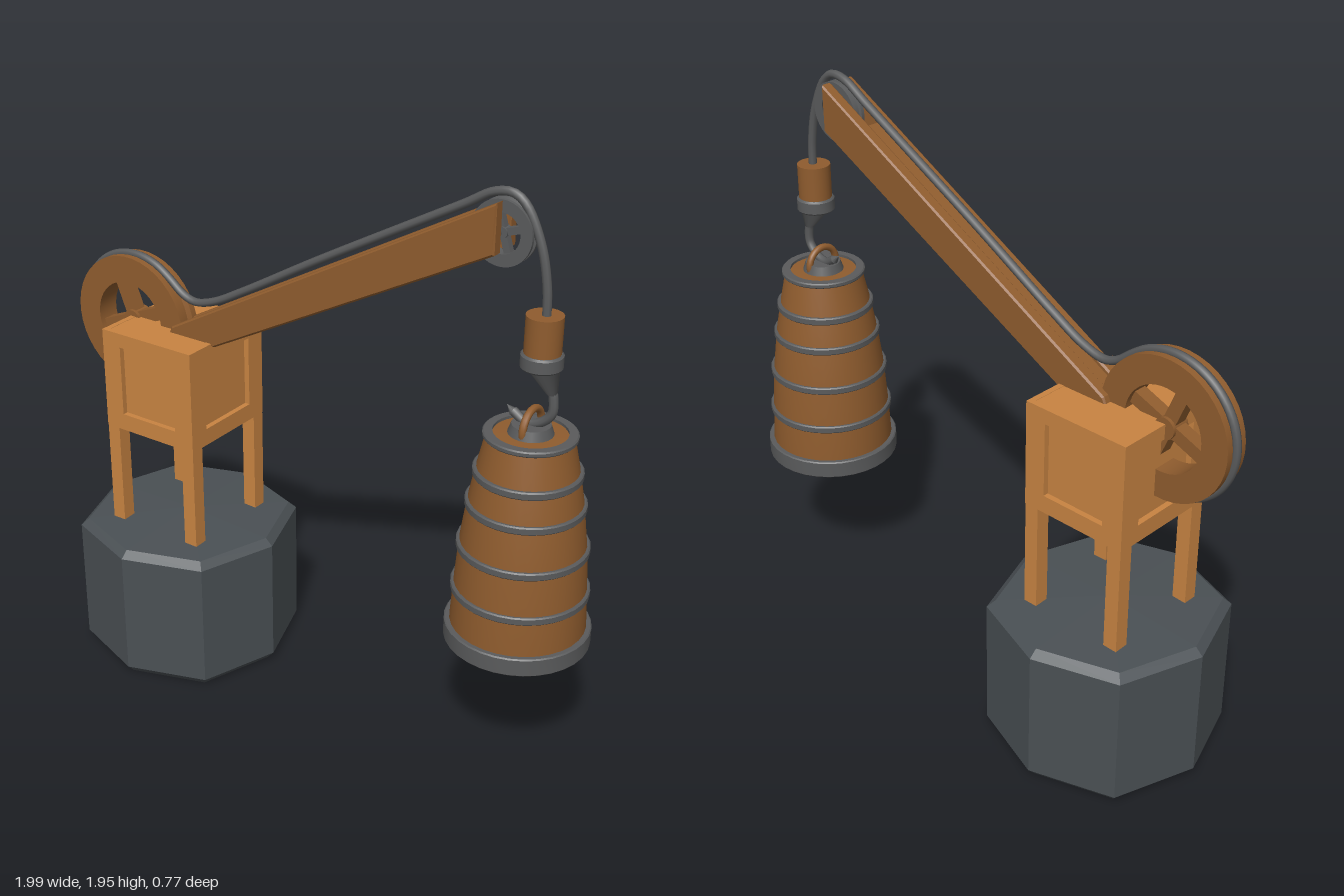
import * as THREE from 'three';
import { toCreasedNormals } from 'three/addons/utils/BufferGeometryUtils.js';

const mat = (color, extra = {}) => {
  const m = new THREE.MeshStandardMaterial(extra);
  m.color.set(color);
  return m;
};
const V2 = (p) => new THREE.Vector2(p[0], p[1]);

export function createModel() {
  const stone = mat(0x4a5054, { flatShading: true });
  const lightWood = mat(0xc88442);
  const wood = mat(0x8f5c2e);
  const metal = mat(0x5a5b5c);

  const model = new THREE.Group();
  model.name = 'crane';
  // Everything is laid out in a frame turned slightly about y
  const crane = new THREE.Group();
  crane.name = 'craneBody';
  crane.position.set(-0.575, 0, 0.02);
  crane.rotation.y = 0.14;
  model.add(crane);

  const add = (parent, name, geo, material, x = 0, y = 0, z = 0) => {
    const m = new THREE.Mesh(geo, material);
    m.name = name;
    m.position.set(x, y, z);
    parent.add(m);
    return m;
  };
  const lathe = (pts, seg = 32) =>
    toCreasedNormals(new THREE.LatheGeometry(pts.map(V2), seg), 0.5);
  const tube = (pts, r, seg) => new THREE.TubeGeometry(
    new THREE.CatmullRomCurve3(pts.map((p) => new THREE.Vector3(p[0], p[1], 0))), seg, r, 8);

  // Eight-sided stone base, corners on the diagonals a little further out
  const base = new THREE.LatheGeometry(
    [[0, 0], [0.345, 0], [0.372, 0.03], [0.372, 0.48], [0.345, 0.505], [0, 0.52]].map(V2), 8);
  const bp = base.attributes.position;
  for (let i = 0; i < bp.count; i++) {
    const x = bp.getX(i), z = bp.getZ(i);
    if (Math.abs(x * z) > 0.01) bp.setXYZ(i, x * 1.05, bp.getY(i), z * 1.05);
  }
  add(crane, 'base', base, stone);

  // Four legs
  for (const sx of [-1, 1]) for (const sz of [-1, 1])
    add(crane, 'leg', new THREE.BoxGeometry(0.05, 0.4, 0.05), lightWood, sx * 0.164, 0.69, sz * 0.169);

  // Housing: a core with a framed, recessed panel on each side
  add(crane, 'housingCore', new THREE.BoxGeometry(0.342, 0.358, 0.352), lightWood, 0, 1.056, 0);
  const frame = (w) => {
    const s = new THREE.Shape([[-w, -0.18], [w, -0.18], [w, 0.18], [-w, 0.18]].map(V2));
    const a = w - 0.075;
    s.holes.push(new THREE.Path([[-a, -0.12], [-a, 0.13], [a, 0.13], [a, -0.12]].map(V2)));
    return new THREE.ExtrudeGeometry(s, { depth: 0.02, bevelEnabled: false });
  };
  for (let i = 0; i < 4; i++) {
    const side = i % 2, d = side ? 0.17 : 0.175, a = i * Math.PI / 2;
    const f = add(crane, 'housingFrame', frame(side ? 0.195 : 0.19), lightWood,
      Math.sin(a) * d, 1.056, Math.cos(a) * d);
    f.rotation.y = a;
  }

  // Parts in the plane of the arm
  const rig = new THREE.Group();
  rig.name = 'rig';
  rig.position.z = 0.015;
  crane.add(rig);

  // Grooved wheel with four spokes, used for the winch and the pulley
  const wheel = (name, x, y, R, r, h, spoke, tilt, material) => {
    const g = new THREE.Group();
    g.name = name;
    g.position.set(x, y, 0);
    g.rotation.z = tilt;
    const k = R - h * 0.4;
    const rim = lathe([[r, -h], [R, -h], [R, -h * 0.45], [k, -h * 0.3], [k, h * 0.3],
      [R, h * 0.45], [R, h], [r, h], [r, -h]], 40);
    add(g, 'rim', rim.rotateX(Math.PI / 2), material);
    for (let i = 0; i < 2; i++)
      add(g, 'spoke', new THREE.BoxGeometry(r * 2.1, spoke, spoke), material).rotation.z = i * Math.PI / 2;
    add(g, 'hub', new THREE.CylinderGeometry(spoke * 0.8, spoke * 0.8, h * 1.6, 16).rotateX(Math.PI / 2), material);
    rig.add(g);
  };
  wheel('winchWheel', -0.186, 1.22, 0.232, 0.14, 0.042, 0.045, 0.38, wood);
  wheel('pulley', 1.22, 1.82, 0.1, 0.062, 0.02, 0.022, 0.3, metal);
  add(rig, 'pulleyAxle', new THREE.CylinderGeometry(0.015, 0.015, 0.12, 12).rotateX(Math.PI / 2),
    metal, 1.205, 1.82, 0);

  // Arm: two side beams around a shorter filler, leaving a fork at the tip
  const beam = (pts, depth) => {
    const b = 0.006;
    const g = new THREE.ExtrudeGeometry(new THREE.Shape(pts.map(V2)),
      { depth: depth - 2 * b, bevelSize: b, bevelThickness: b, bevelOffset: -b, bevelSegments: 1 });
    return g.translate(0, 0, b - depth / 2);
  };
  const armSide = [[0, 1.215], [0.2, 1.225], [1.225, 1.765], [1.225, 1.92], [0.018, 1.255]];
  for (const s of [-1, 1]) add(rig, 'armBeam', beam(armSide, 0.042), wood, 0, 0, s * 0.045);
  add(rig, 'armFiller', beam([[0.02, 1.215], [0.2, 1.235], [1.06, 1.69], [1.06, 1.815], [0.05, 1.255]], 0.06), wood);

  // Rope: round the winch, along the arm, over the pulley and down
  const ropePts = [];
  for (let a = 275; a >= 50; a -= 15) {
    const t = a * Math.PI / 180;
    ropePts.push([-0.186 + 0.232 * Math.cos(t), 1.22 + 0.232 * Math.sin(t)]);
  }
  ropePts.push([0.023, 1.352], [0.074, 1.337], [0.155, 1.357], [0.276, 1.42], [0.579, 1.595],
    [1.084, 1.875], [1.185, 1.932], [1.245, 1.938], [1.286, 1.91], [1.341, 1.8], [1.367, 1.68], [1.372, 1.58]);
  add(rig, 'rope', tube(ropePts, 0.014, 140), metal);

  // Hook block, collar and hook
  add(rig, 'hookBlock', new THREE.CylinderGeometry(0.056, 0.056, 0.125, 24), wood, 1.367, 1.538, 0);
  add(rig, 'hookCollar', lathe([[0, 1.435], [0.058, 1.435], [0.064, 1.441], [0.064, 1.478], [0.058, 1.484], [0, 1.484]], 24),
    metal, 1.367, 0, 0);
  const neck = new THREE.CylinderGeometry(0.05, 0.017, 0.075, 16);
  const np = neck.attributes.position;
  for (let i = 0; i < np.count; i++) if (np.getY(i) < 0) np.setX(i, np.getX(i) + 0.035);
  add(rig, 'hookNeck', neck, metal, 1.372, 1.4, 0);
  add(rig, 'hook', tube([[1.405, 1.38], [1.413, 1.35], [1.412, 1.3], [1.377, 1.262], [1.33, 1.25], [1.285, 1.275]], 0.015, 40), metal);
  add(rig, 'hookTip', new THREE.ConeGeometry(0.015, 0.03, 8).rotateZ(0.9), metal, 1.275, 1.281, 0);

  // Hanging barrel, hollow and open below
  const barrel = new THREE.Group();
  barrel.name = 'barrel';
  barrel.position.x = 1.348;
  rig.add(barrel);
  add(barrel, 'barrelBody', lathe([[0.165, 0.51], [0.215, 0.51], [0.215, 0.56], [0.208, 0.69], [0.197, 0.84],
    [0.178, 0.985], [0.158, 1.095], [0.132, 1.215], [0, 1.222], [0, 1.19], [0.1, 1.19], [0.165, 0.7], [0.165, 0.51]], 32), wood);
  const band = (name, y, r, h, inner = r - 0.03) => add(barrel, name, lathe(
    [[inner, y - h], [r - 0.004, y - h], [r, y - h + 0.004], [r, y + h - 0.004], [r - 0.004, y + h], [inner, y + h], [inner, y - h]]), metal);
  for (const [y, r] of [[1.092, 0.168], [0.985, 0.186], [0.84, 0.206], [0.69, 0.217]])
    band('barrelHoop', y, r, 0.013);
  band('topRim', 1.216, 0.144, 0.009);
  band('bottomRim', 0.534, 0.232, 0.031, 0.165);

  // Lifting eye on the lid
  add(barrel, 'lidBoss', new THREE.CylinderGeometry(0.06, 0.07, 0.03, 24), metal, 0, 1.235, 0);
  add(barrel, 'liftingRing', new THREE.TorusGeometry(0.058, 0.012, 10, 28).rotateY(Math.PI / 2), wood, 0.002, 1.24, 0);

  return model;
}
